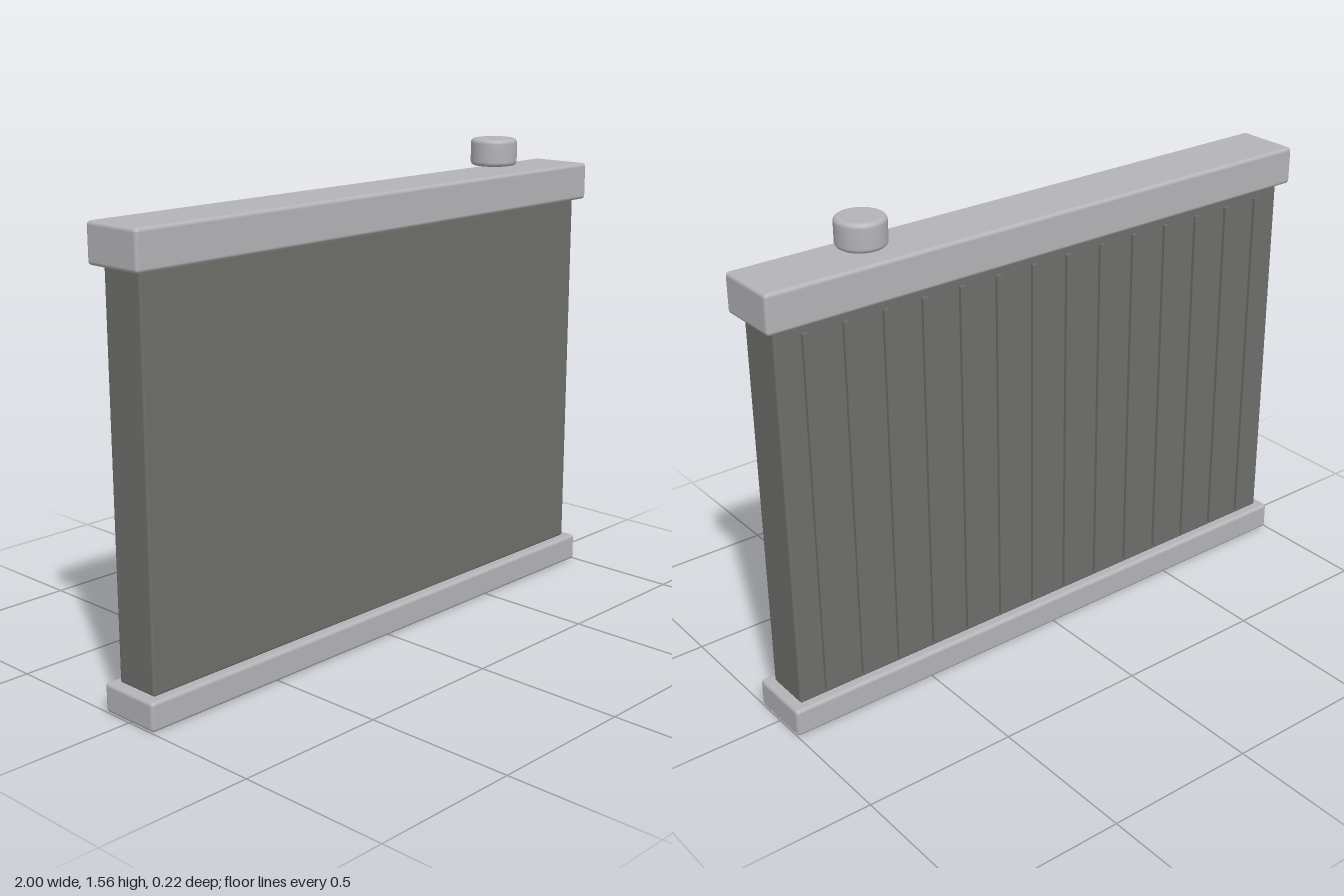
import * as THREE from 'three';
import { RoundedBoxGeometry } from 'three/addons/geometries/RoundedBoxGeometry.js';

export function createModel() {
  const model = new THREE.Group();
  model.name = 'radiator';

  const tankMetal = new THREE.MeshStandardMaterial({ color: 0xb4b4b8 });
  tankMetal.name = 'light grey metal';
  const coreMetal = new THREE.MeshStandardMaterial({ color: 0x6e6e6b });
  coreMetal.name = 'dark grey metal';

  const add = (name, geometry, material, x, y, z) => {
    const mesh = new THREE.Mesh(geometry, material);
    mesh.name = name;
    mesh.position.set(x, y, z);
    model.add(mesh);
  };
  const rounded = (w, h, d, r) => new RoundedBoxGeometry(w, h, d, 3, r);

  // Core block between the two tanks
  add('core', rounded(1.934, 1.24, 0.155, 0.008), coreMetal, 0, 0.712, 0);

  // Header tanks
  add('topTank', rounded(2, 0.124, 0.216, 0.012), tankMetal, 0, 1.393, 0);
  add('bottomTank', rounded(2, 0.093, 0.216, 0.012), tankMetal, 0, 0.0465, 0);

  // Vertical ribs across the back of the core
  const ribCount = 14;
  const ribGeometry = new THREE.BoxGeometry(0.02, 1.19, 0.022);
  for (let i = 0; i < ribCount; i++) {
    const x = -0.87 + (1.74 * i) / (ribCount - 1);
    add('rib' + (i + 1), ribGeometry, coreMetal, x, 0.705, -0.077);
  }

  // Filler cap with rounded rims, sitting just clear of the top tank
  const radius = 0.077, half = 0.0445, bevel = 0.014;
  const profile = [new THREE.Vector2(0, -half), new THREE.Vector2(radius - bevel - 0.002, -half)];
  for (const side of [-1, 1]) {
    for (let i = 0; i <= 4; i++) {
      const a = (side < 0 ? i - 4 : i) * Math.PI / 8;
      profile.push(new THREE.Vector2(
        radius - bevel + bevel * Math.cos(a),
        side * (half - bevel) + bevel * Math.sin(a)
      ));
    }
  }
  profile.push(new THREE.Vector2(radius - bevel - 0.002, half), new THREE.Vector2(0, half));
  add('fillerCap', new THREE.LatheGeometry(profile, 40), tankMetal, 0.622, 1.5175, 0);

  return model;
}
